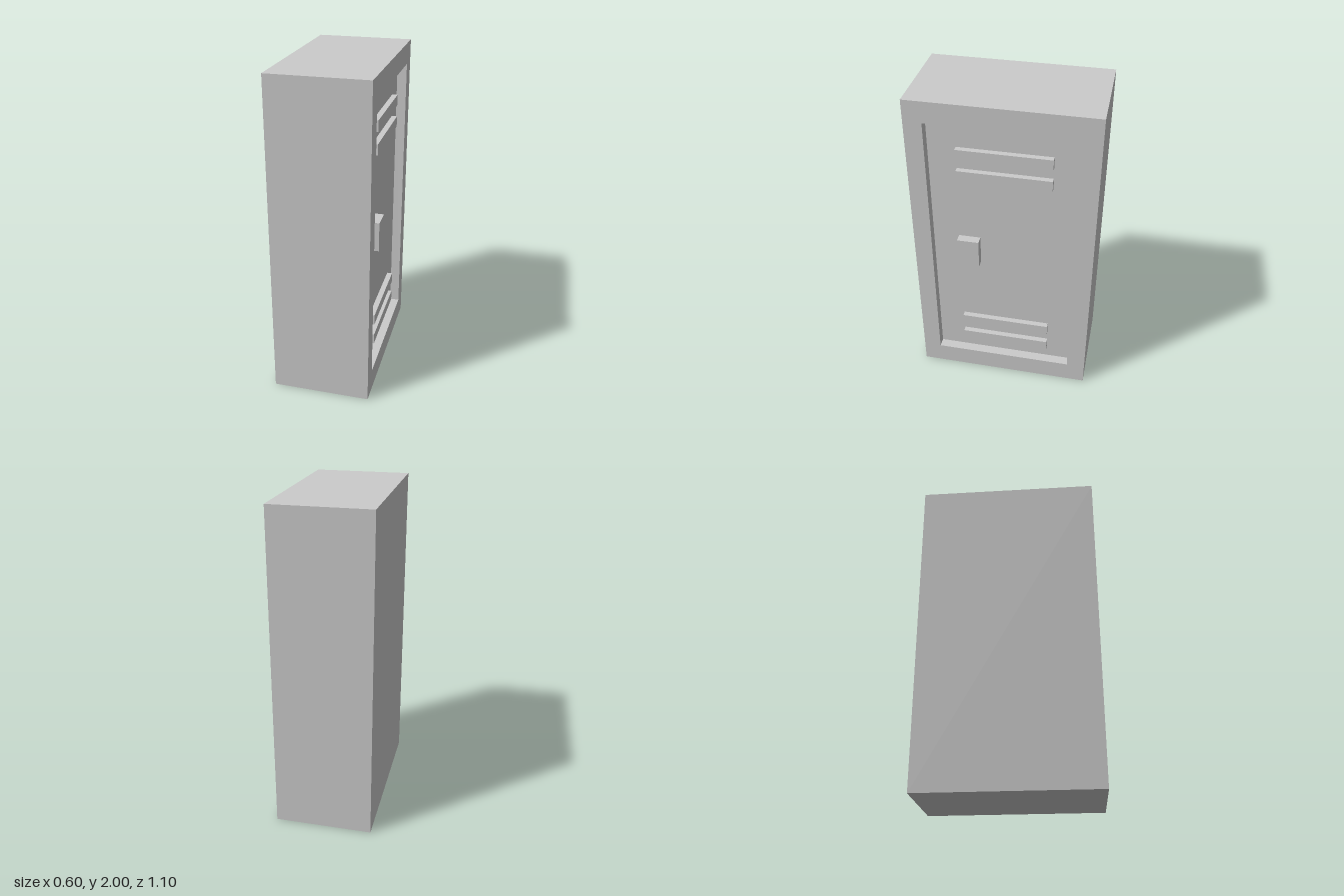
import * as THREE from 'three';

const material = new THREE.MeshStandardMaterial({ color: 0xcccccc, flatShading: true });
const DOOR_X = 0.24; // plane of the recessed door

// Rectangular section at a given x, counter-clockwise as seen from +x
const section = (x, z0, z1, y0, y1) => [[x, y0, z1], [x, y0, z0], [x, y1, z0], [x, y1, z1]];

// Skins consecutive four-cornered sections and caps both ends
function loft(sections) {
  const positions = [];
  const quad = (a, b, c, d) => positions.push(...a, ...b, ...c, ...a, ...c, ...d);
  for (let s = 0; s < sections.length - 1; s++) {
    const from = sections[s], to = sections[s + 1];
    for (let i = 0; i < 4; i++) {
      const j = (i + 1) % 4;
      quad(from[i], from[j], to[j], to[i]);
    }
  }
  quad(...[...sections[0]].reverse());
  quad(...sections[sections.length - 1]);
  const geometry = new THREE.BufferGeometry();
  geometry.setAttribute('position', new THREE.Float32BufferAttribute(positions, 3));
  geometry.computeVertexNormals();
  return geometry;
}

export function createModel() {
  const locker = new THREE.Group();
  locker.name = 'locker';

  // Cabinet: outer shell, rim around the opening, then inward to the door
  const cabinet = new THREE.Mesh(loft([
    section(-0.3, -0.55, 0.55, 0, 2),
    section(0.3, -0.55, 0.55, 0, 2),
    section(0.3, -0.435, 0.44, 0.135, 1.868),
    section(DOOR_X, -0.435, 0.44, 0.135, 1.868),
  ]), material);
  cabinet.name = 'cabinet';
  locker.add(cabinet);

  // Raised block standing on the door
  const addBlock = (name, depth, height, width, y, z) => {
    const block = new THREE.Mesh(new THREE.BoxGeometry(depth, height, width), material);
    block.name = name;
    block.position.set(DOOR_X + depth / 2, y, z);
    locker.add(block);
  };

  // Two vent slats at the top of the door and two at the bottom
  [1.672, 1.532, 0.398, 0.257].forEach((y, i) => {
    addBlock(`ventSlat${i + 1}`, 0.034, 0.067, 0.56, y, -0.008);
  });

  // Door handle
  addBlock('handle', 0.054, 0.185, 0.133, 0.986, 0.214);

  return locker;
}
